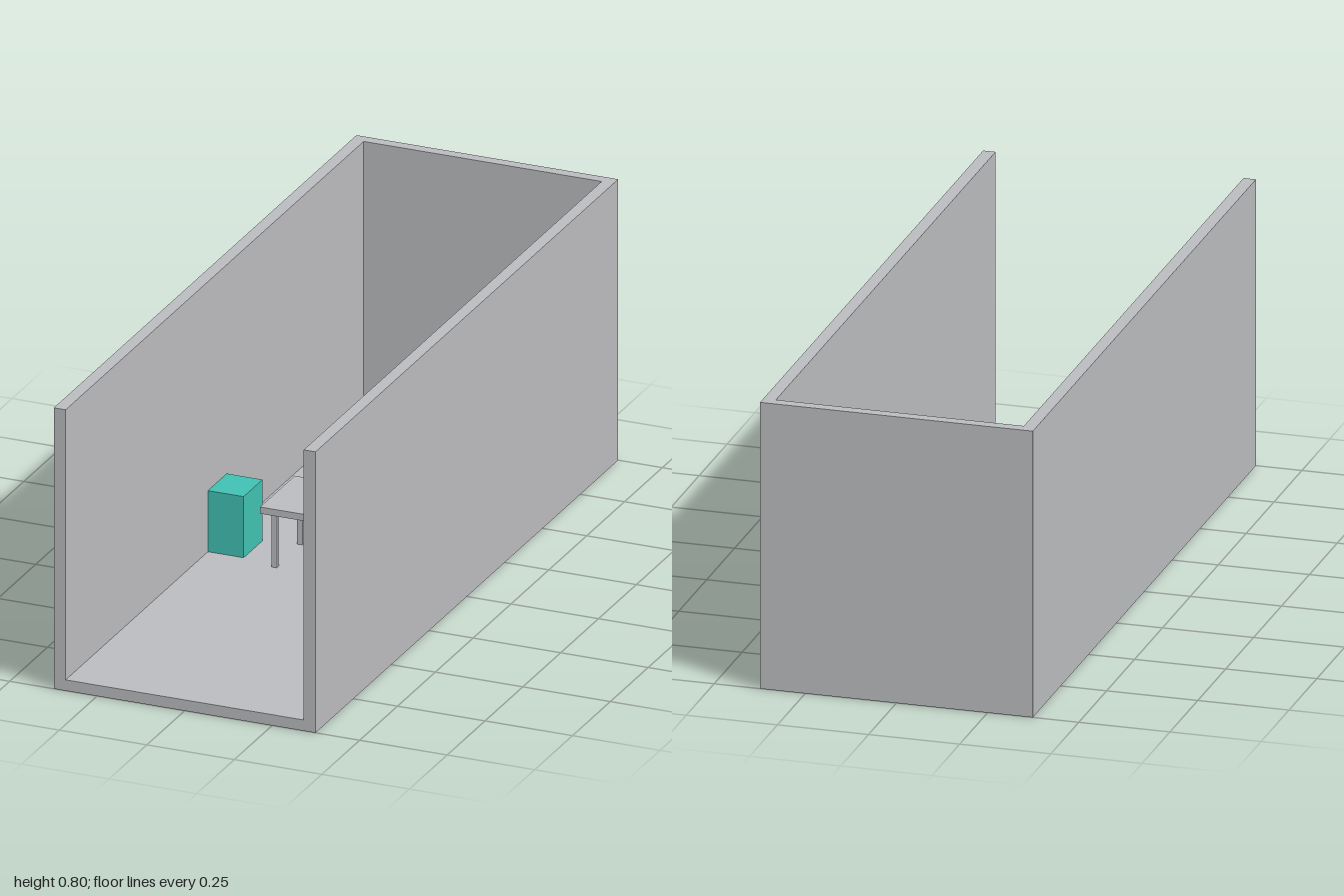
import * as THREE from 'three';

export function createModel() {
  const group = new THREE.Group();
  const grey = new THREE.MeshStandardMaterial({ color: 0xbbbcbf });
  grey.name = 'light grey';
  const teal = new THREE.MeshStandardMaterial({ color: 0x41c1b3 });
  teal.name = 'teal';

  // Box given by its lower and upper corners
  const box = (name, material, [x0, y0, z0], [x1, y1, z1], parent = group) => {
    const mesh = new THREE.Mesh(new THREE.BoxGeometry(x1 - x0, y1 - y0, z1 - z0), material);
    mesh.position.set((x0 + x1) / 2, (y0 + y1) / 2, (z0 + z1) / 2);
    mesh.name = name;
    parent.add(mesh);
  };

  const W = 0.374, IN = 0.34, H = 0.8, FLOOR = 0.031, BACK = -0.969;

  // Room shell, open at the front and top: outline of the U section run along z
  const section = new THREE.Shape([
    [-W, 0], [W, 0], [W, H], [IN, H], [IN, FLOOR], [-IN, FLOOR], [-IN, H], [-W, H],
  ].map(([x, y]) => new THREE.Vector2(x, y)));
  const shell = new THREE.Mesh(
    new THREE.ExtrudeGeometry(section, { depth: 1 - BACK, bevelEnabled: false }), grey);
  shell.position.z = BACK;
  shell.name = 'floorAndSideWalls';
  group.add(shell);
  box('backWall', grey, [-W, 0, -1], [W, H, BACK]);

  // Seats against the side walls
  box('leftSeat', teal, [0.238, FLOOR, -0.065], [IN, 0.205, 0.06]);
  box('rightSeat', teal, [-IN, FLOOR, -0.065], [-0.238, 0.205, 0.06]);

  // Table with four legs
  const table = new THREE.Group();
  table.name = 'table';
  group.add(table);
  box('tableTop', grey, [-0.169, 0.188, -0.118], [0.167, 0.207, 0.111], table);
  for (const x of [-0.146, 0.129]) {
    for (const z of [-0.095, 0.073]) {
      box('tableLeg', grey, [x, FLOOR, z], [x + 0.015, 0.188, z + 0.015], table);
    }
  }
  return group;
}
